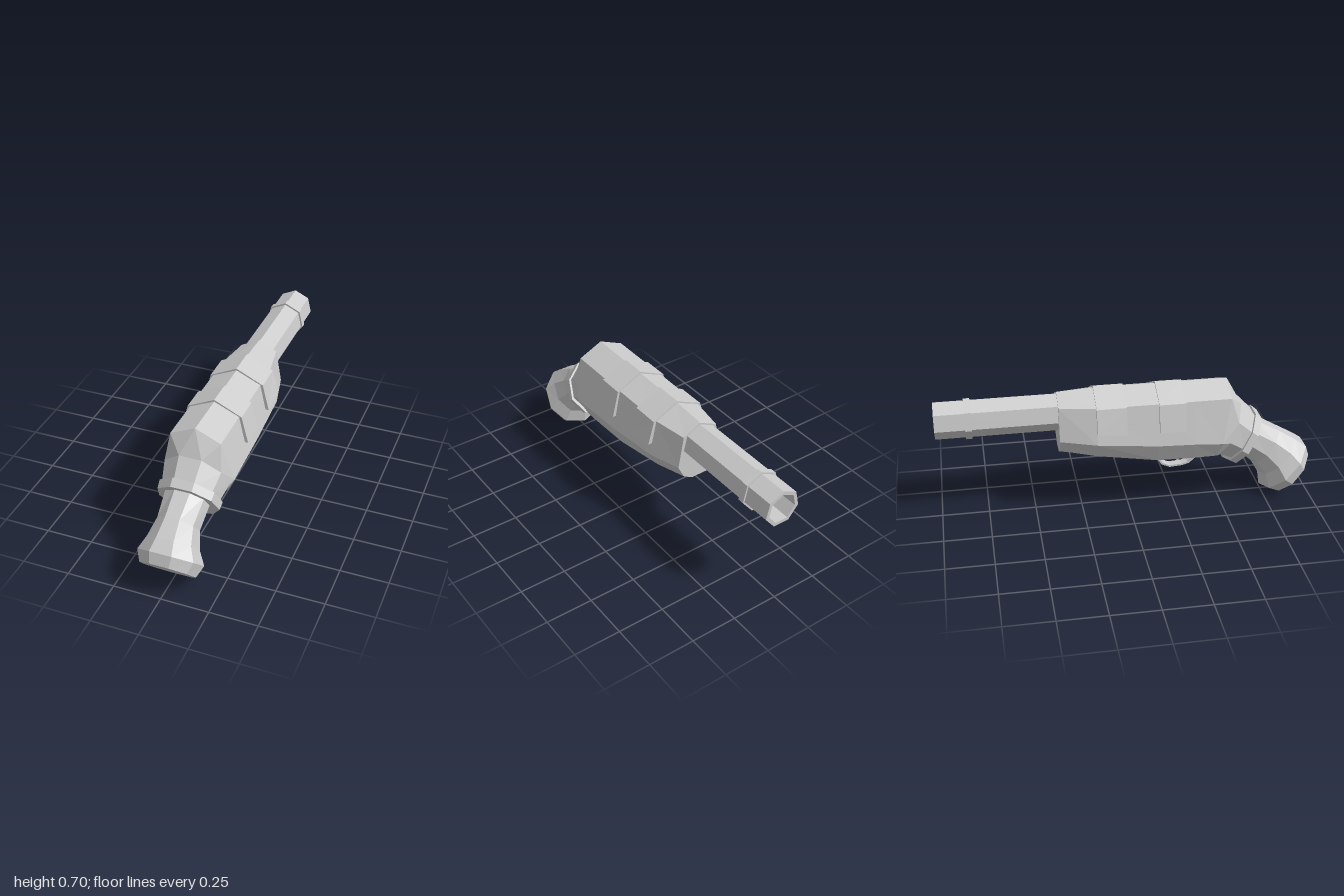
import * as THREE from 'three';

const material = new THREE.MeshStandardMaterial({ color: 0xcccccc, flatShading: true, side: THREE.DoubleSide });

// Polygon ring from its top and bottom [z, y]; flat puts an edge on top instead of a corner
function ring(n, top, bottom, radius, flat) {
  const angles = Array.from({ length: n }, (_, k) => (k + (flat ? 0.5 : 0)) * 2 * Math.PI / n);
  const heights = angles.map(Math.cos);
  const low = Math.min(...heights), high = Math.max(...heights);
  return angles.map((a, k) => {
    const s = (heights[k] - low) / (high - low);
    return [
      radius * Math.sin(a),
      bottom[1] + (top[1] - bottom[1]) * s,
      bottom[0] + (top[0] - bottom[0]) * s,
    ];
  });
}

// Nine-sided ring from the crest and four points of one side, mirrored
function mirrored(half) {
  return [...half, ...half.slice(1).reverse().map(([x, y, z]) => [-x, y, z])];
}

// Skin over rings listed from -z to +z, with closed ends
function loft(rings) {
  const n = rings[0].length, index = [];
  for (let r = 0; r < rings.length - 1; r++) {
    for (let k = 0; k < n; k++) {
      const a = r * n + k, b = r * n + (k + 1) % n;
      index.push(a, a + n, b, b, a + n, b + n);
    }
  }
  const last = (rings.length - 1) * n;
  for (let k = 1; k < n - 1; k++) index.push(0, k, k + 1, last, last + k + 1, last + k);
  const geometry = new THREE.BufferGeometry();
  geometry.setAttribute('position', new THREE.Float32BufferAttribute(rings.flat(2), 3));
  geometry.setIndex(index);
  const result = geometry.toNonIndexed();
  result.computeVertexNormals();
  return result;
}

export function createModel() {
  const model = new THREE.Group();
  const add = (name, geometry) => {
    const mesh = new THREE.Mesh(geometry, material);
    mesh.name = name;
    model.add(mesh);
    return mesh;
  };

  // Body: ridged sections, turning to a flat-topped neck at the collar
  add('body', loft([
    mirrored([[0, 0.685, -0.37], [0.1, 0.635, -0.37], [0.13, 0.46, -0.37], [0.095, 0.39, -0.37], [0.045, 0.36, -0.37]]),
    mirrored([[0, 0.695, -0.18], [0.13, 0.635, -0.18], [0.172, 0.445, -0.18], [0.12, 0.355, -0.18], [0.055, 0.326, -0.18]]),
    mirrored([[0, 0.695, 0.14], [0.132, 0.635, 0.14], [0.178, 0.415, 0.14], [0.13, 0.306, 0.14], [0.06, 0.268, 0.14]]),
    mirrored([[0, 0.695, 0.33], [0.132, 0.635, 0.33], [0.182, 0.41, 0.33], [0.135, 0.305, 0.33], [0.06, 0.27, 0.33]]),
    mirrored([[0, 0.695, 0.53], [0.132, 0.635, 0.53], [0.183, 0.4, 0.48], [0.14, 0.31, 0.46], [0.06, 0.278, 0.4]]),
    ring(9, [0.6, 0.567], [0.47, 0.262], 0.172, true),
    ring(9, [0.69, 0.475], [0.54, 0.235], 0.15, true),
  ]));

  // Collar between body and grip
  add('collar', loft([
    ring(9, [0.685, 0.495], [0.522, 0.22], 0.166, true),
    ring(9, [0.72, 0.465], [0.557, 0.2], 0.163, true),
  ]));

  // Grip flaring to the butt
  add('grip', loft([
    ring(9, [0.69, 0.45], [0.59, 0.275], 0.118, true),
    ring(9, [0.83, 0.37], [0.69, 0.18], 0.108, true),
    ring(9, [0.92, 0.315], [0.73, 0.11], 0.132, true),
    ring(9, [0.98, 0.272], [0.742, 0.03], 0.168, true),
    ring(9, [1.0, 0.213], [0.81, 0], 0.143, true),
  ]));

  // Seven-sided barrel with an open bore
  const around = (z, r) => ring(7, [z, 0.575 + r], [z, 0.575 - r * 0.9], r, false);
  add('barrel', loft([
    around(-0.6, 0.07), around(-1, 0.08), around(-1, 0.1), around(-0.3, 0.1),
  ]));
  add('barrelRing', loft([around(-0.845, 0.11), around(-0.812, 0.11)]));

  // Straps folded over the top of the body
  const strapOutline = new THREE.Shape([
    [-0.18, 0.49], [-0.145, 0.635], [0, 0.705], [0.145, 0.635], [0.18, 0.49],
    [0.15, 0.49], [0.12, 0.62], [0, 0.68], [-0.12, 0.62], [-0.15, 0.49],
  ].map(([x, y]) => new THREE.Vector2(x, y)));
  const strap = (name, start, depth, lift) => {
    const geometry = new THREE.ExtrudeGeometry(strapOutline, { depth, bevelEnabled: false });
    const p = geometry.attributes.position;
    // Slant the lower hem toward the muzzle
    for (let i = 0; i < p.count; i++) {
      if (p.getY(i) < 0.5) p.setY(i, p.getY(i) + lift * (1 - p.getZ(i) / depth));
    }
    geometry.computeVertexNormals();
    add(name, geometry).position.z = start;
  };
  strap('rearStrap', 0.145, 0.14, 0);
  strap('frontStrap', -0.18, 0.155, 0.02);

  // Bent bars lying in the side plane
  const bar = (name, path, thickness, width) => {
    const outer = path.map(([z, y]) => new THREE.Vector2(-z, y));
    const inner = outer.map((p, i) => {
      const t = outer[Math.min(i + 1, outer.length - 1)].clone().sub(outer[Math.max(i - 1, 0)]).normalize();
      return new THREE.Vector2(p.x - t.y * thickness, p.y + t.x * thickness);
    });
    const shape = new THREE.Shape([...outer, ...inner.reverse()]);
    const geometry = new THREE.ExtrudeGeometry(shape, { depth: width, bevelEnabled: false });
    geometry.translate(0, 0, -width / 2).rotateY(Math.PI / 2);
    add(name, geometry);
  };
  bar('triggerGuard', [[0.39, 0.285], [0.375, 0.245], [0.335, 0.21], [0.3, 0.2], [0.23, 0.195], [0.185, 0.215], [0.145, 0.275]], 0.01, 0.045);
  bar('trigger', [[0.305, 0.285], [0.295, 0.25], [0.275, 0.225]], 0.012, 0.02);

  return model;
}
